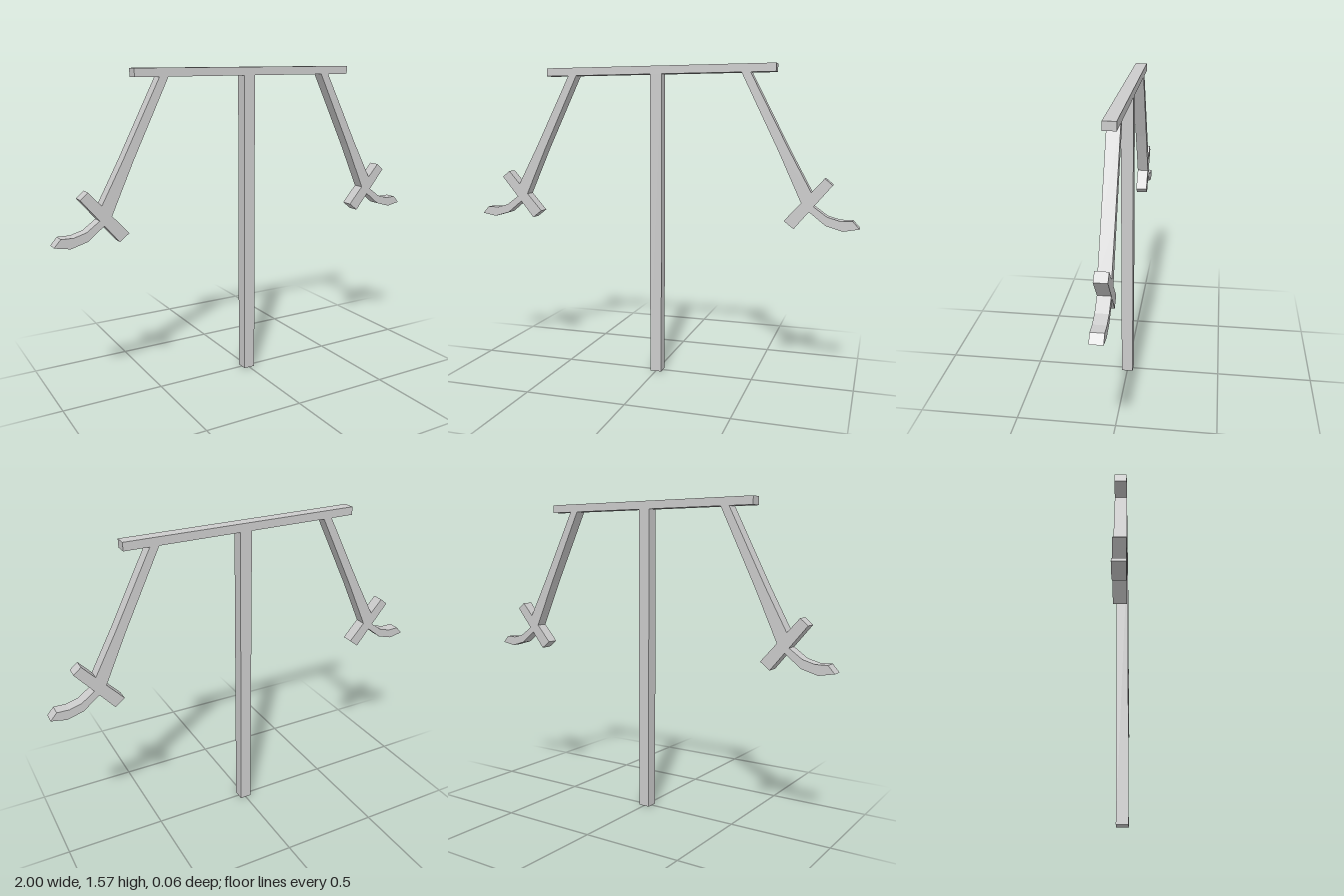
import * as THREE from 'three';

const DEPTH = 0.06;
const material = new THREE.MeshStandardMaterial({ color: 0xcccccc, flatShading: true });

// Flat outline given thickness, centred on z = 0; side -1 mirrors it
function slab(name, points, side = 1) {
  const shape = new THREE.Shape(points.map(([x, y]) => new THREE.Vector2(x * side, y)));
  const geometry = new THREE.ExtrudeGeometry(shape, { depth: DEPTH, bevelEnabled: false });
  geometry.translate(0, 0, -DEPTH / 2);
  const mesh = new THREE.Mesh(geometry, material);
  mesh.name = name;
  return mesh;
}

function box(name, width, bottom, top) {
  const mesh = new THREE.Mesh(new THREE.BoxGeometry(width, top - bottom, DEPTH), material);
  mesh.position.y = (bottom + top) / 2;
  mesh.name = name;
  return mesh;
}

// Hanging arm: bent strut, slanted crosspiece and curved end
const strut = [[0.43, 1.53], [0.474, 1.53], [0.663, 1.165], [0.773, 0.964], [0.727, 0.912], [0.615, 1.155]];
const crosspiece = [[0.834, 1.032], [0.872, 1.0], [0.695, 0.786], [0.647, 0.823]];
const hook = [[0.786, 0.896], [0.85, 0.85], [0.909, 0.833], [0.968, 0.834], [1.0, 0.798],
  [0.925, 0.784], [0.845, 0.807], [0.765, 0.871]];

export function createModel() {
  const model = new THREE.Group();
  model.name = 'hangingStand';
  model.add(box('post', 0.06, 0, 1.53), box('crossbar', 1.19, 1.53, 1.57));

  for (const [side, label] of [[1, 'left'], [-1, 'right']]) {
    const arm = new THREE.Group();
    arm.name = label + 'Arm';
    arm.add(
      slab(label + 'Strut', strut, side),
      slab(label + 'Crosspiece', crosspiece, side),
      slab(label + 'Hook', hook, side),
    );
    model.add(arm);
  }
  return model;
}
